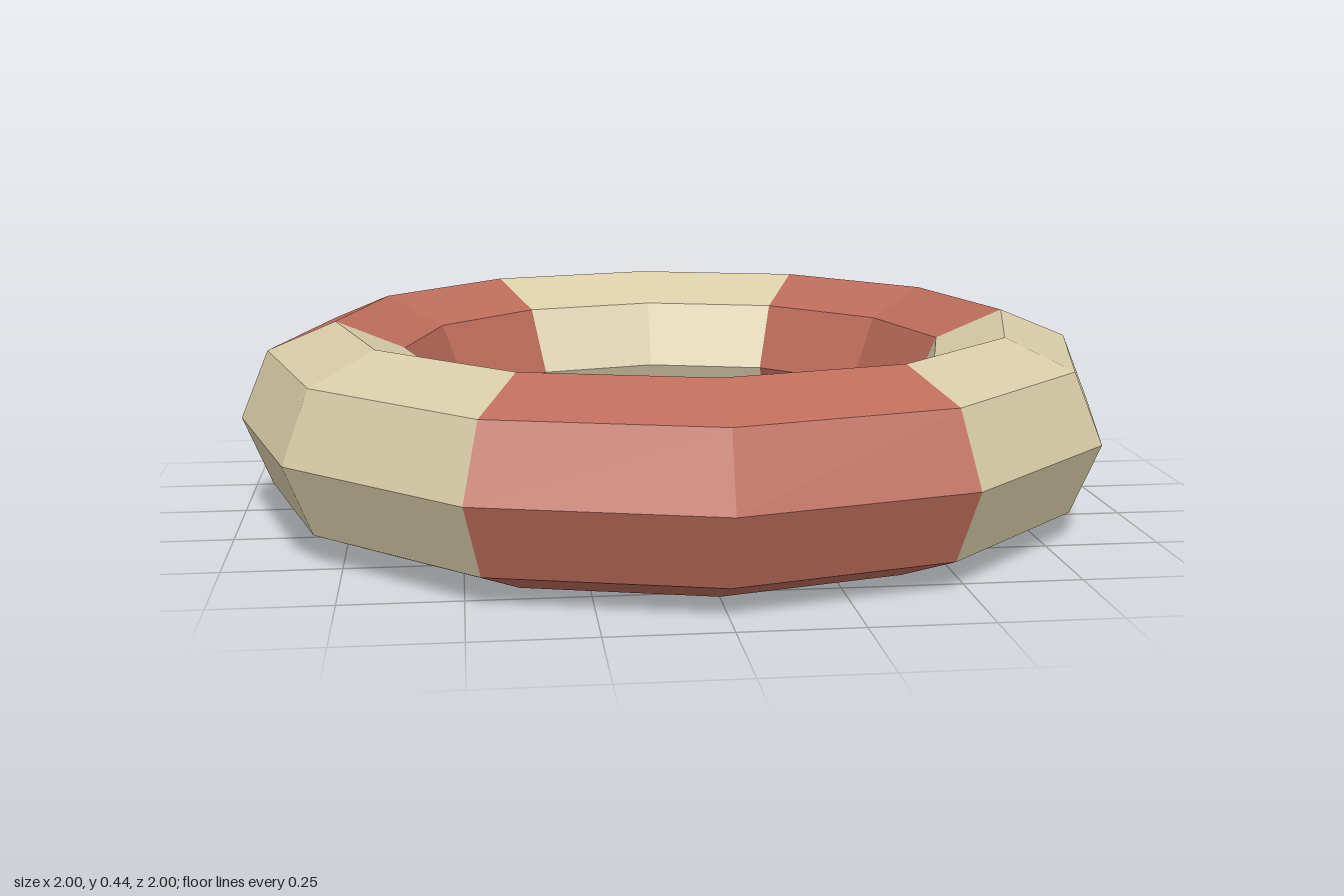
import * as THREE from 'three';

export function createModel() {
  const group = new THREE.Group();
  group.name = 'ring';

  const cream = new THREE.MeshStandardMaterial({ color: 0xd8cca8, flatShading: true });
  cream.name = 'cream';
  const red = new THREE.MeshStandardMaterial({ color: 0xbd6c5b, flatShading: true });
  red.name = 'brick red';

  // One sixth of a low-poly ring: eight-sided tube, two bends, laid flat
  const tube = 0.22;
  const sector = new THREE.TorusGeometry(1 - tube, tube, 8, 2, Math.PI / 3);
  sector.rotateX(Math.PI / 2);
  sector.translate(0, tube, 0);

  // Six sectors in alternating colours, starting at +x and turning towards +z
  for (let i = 0; i < 6; i++) {
    const mesh = new THREE.Mesh(sector, i % 2 ? red : cream);
    mesh.name = (i % 2 ? 'redSector' : 'creamSector') + (Math.floor(i / 2) + 1);
    mesh.rotation.y = -i * Math.PI / 3;
    group.add(mesh);
  }
  return group;
}
